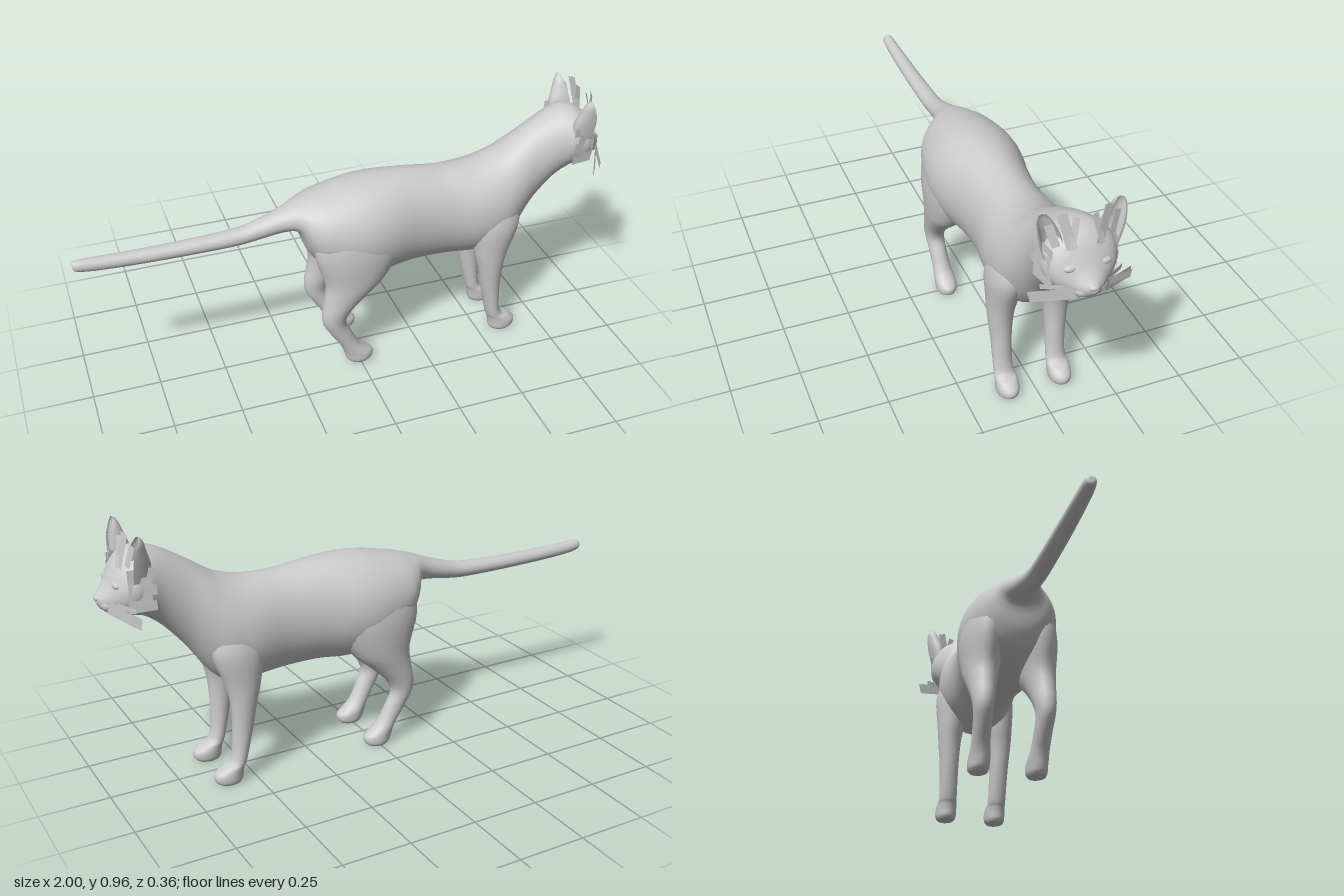
import * as THREE from 'three';

const grey = new THREE.MeshStandardMaterial({ color: 0xcccccc });
const thin = new THREE.MeshStandardMaterial({ color: 0xcccccc, side: THREE.DoubleSide });

// Smooth interpolation between rows of section numbers
function smoothRows(rows, steps) {
  const out = [];
  for (let i = 0; i < rows.length - 1; i++) {
    const [a, b, c, d] = [rows[Math.max(i - 1, 0)], rows[i], rows[i + 1], rows[Math.min(i + 2, rows.length - 1)]];
    for (let s = 0; s < steps; s++) {
      const t = s / steps;
      out.push(b.map((p, k) => {
        const m0 = (c[k] - a[k]) / 2, m1 = (d[k] - p) / 2;
        return (2 * t ** 3 - 3 * t * t + 1) * p + (t ** 3 - 2 * t * t + t) * m0
          + (3 * t * t - 2 * t ** 3) * c[k] + (t ** 3 - t * t) * m1;
      }));
    }
  }
  out.push(rows[rows.length - 1]);
  return out;
}

// Closed skin over a row of rings; point(row, cos, sin) gives [x, y, z]
function loft(name, rows, sides, steps, point, material = grey) {
  const rings = smoothRows(rows, steps), pos = [], idx = [];
  for (const r of rings) {
    for (let j = 0; j < sides; j++) {
      const a = (j / sides) * Math.PI * 2;
      pos.push(...point(r, Math.cos(a), Math.sin(a)));
    }
  }
  const last = rings.length - 1;
  for (let i = 0; i < last; i++) {
    for (let j = 0; j < sides; j++) {
      const k = (j + 1) % sides, p = i * sides, q = p + sides;
      idx.push(p + j, q + j, p + k, p + k, q + j, q + k);
    }
  }
  // end caps have their own vertices, so the soles stay crisp
  for (const end of [0, last]) {
    const base = pos.length / 3, c = [0, 0, 0];
    for (let j = 0; j < sides; j++) {
      const v = pos.slice((end * sides + j) * 3, (end * sides + j) * 3 + 3);
      pos.push(...v);
      v.forEach((n, m) => { c[m] += n / sides; });
    }
    pos.push(...c);
    for (let j = 0; j < sides; j++) {
      const a = base + j, b = base + (j + 1) % sides;
      if (end) idx.push(a, base + sides, b);
      else idx.push(a, b, base + sides);
    }
  }
  const g = new THREE.BufferGeometry();
  g.setAttribute('position', new THREE.Float32BufferAttribute(pos, 3));
  g.setIndex(idx);
  g.computeVertexNormals();
  const mesh = new THREE.Mesh(g, material);
  mesh.name = name;
  return mesh;
}

// Flat strip from a to b, widened across the facing direction
function card(name, a, b, width, facing) {
  const A = new THREE.Vector3(...a), B = new THREE.Vector3(...b);
  const u = B.clone().sub(A).cross(new THREE.Vector3(...facing)).setLength(width / 2);
  const p = [A.clone().sub(u), A.clone().add(u), B.clone().add(u), B.clone().sub(u)];
  const g = new THREE.BufferGeometry().setFromPoints(p);
  g.setIndex([0, 1, 2, 0, 2, 3]);
  g.computeVertexNormals();
  const mesh = new THREE.Mesh(g, thin);
  mesh.name = name;
  return mesh;
}

function blob(name, [x, y, z], [rx, ry, rz]) {
  const mesh = new THREE.Mesh(new THREE.SphereGeometry(1, 20, 14), grey);
  mesh.name = name;
  mesh.position.set(x, y, z);
  mesh.scale.set(rx, ry, rz);
  return mesh;
}

export function createModel() {
  const cat = new THREE.Group();
  cat.name = 'cat';

  // Tail, trunk, neck and head: x, bottom, top, half width
  const trunk = [
    [-1, 0.58, 0.6, 0.008], [-0.985, 0.568, 0.61, 0.02], [-0.9, 0.558, 0.608, 0.025],
    [-0.7, 0.552, 0.605, 0.03], [-0.45, 0.552, 0.613, 0.034], [-0.35, 0.562, 0.633, 0.038],
    [-0.26, 0.576, 0.664, 0.05], [-0.205, 0.57, 0.685, 0.078], [-0.175, 0.49, 0.694, 0.115],
    [-0.12, 0.42, 0.709, 0.152], [0, 0.36, 0.733, 0.176], [0.1, 0.35, 0.741, 0.17],
    [0.22, 0.36, 0.737, 0.143], [0.35, 0.358, 0.723, 0.134], [0.48, 0.35, 0.726, 0.15],
    [0.57, 0.36, 0.752, 0.145], [0.63, 0.415, 0.787, 0.128], [0.7, 0.515, 0.833, 0.107],
    [0.78, 0.605, 0.877, 0.106], [0.84, 0.65, 0.893, 0.12], [0.885, 0.663, 0.88, 0.122],
    [0.915, 0.671, 0.853, 0.106], [0.935, 0.68, 0.82, 0.085], [0.955, 0.685, 0.783, 0.058],
    [0.975, 0.695, 0.757, 0.036], [0.988, 0.715, 0.745, 0.016],
  ];
  cat.add(loft('body', trunk, 36, 4, ([x, lo, hi, w], c, s) =>
    [x, (lo + hi) / 2 + s * (hi - lo) / 2, c * w]));

  // Legs: y, back x, front x, inner z, outer z
  const frontLeg = [
    [0, 0.555, 0.64, 0.066, 0.132], [0.012, 0.548, 0.652, 0.06, 0.138], [0.035, 0.545, 0.653, 0.058, 0.139],
    [0.058, 0.54, 0.628, 0.06, 0.137], [0.085, 0.53, 0.588, 0.064, 0.134], [0.2, 0.504, 0.578, 0.064, 0.138],
    [0.3, 0.485, 0.582, 0.058, 0.147], [0.38, 0.465, 0.6, 0.045, 0.152], [0.5, 0.45, 0.64, 0.03, 0.155],
    [0.62, 0.48, 0.62, 0.03, 0.115],
  ];
  const hindLeg = [
    [0, -0.04, 0.04, 0.074, 0.138], [0.012, -0.05, 0.052, 0.068, 0.144], [0.035, -0.058, 0.053, 0.066, 0.145],
    [0.058, -0.065, 0.026, 0.068, 0.144], [0.09, -0.08, -0.005, 0.074, 0.142], [0.15, -0.118, -0.035, 0.078, 0.144],
    [0.2, -0.143, -0.055, 0.078, 0.149], [0.25, -0.146, -0.035, 0.07, 0.155], [0.31, -0.136, 0.025, 0.058, 0.162],
    [0.38, -0.132, 0.1, 0.04, 0.171], [0.5, -0.165, 0.165, 0.02, 0.178], [0.6, -0.15, 0.15, 0.02, 0.16],
    [0.66, -0.09, 0.1, 0.03, 0.12],
  ];
  // Ears: y, rim x, depth, centre z, half width
  const ear = [
    [0.8, 0.895, 0.07, 0.088, 0.032], [0.86, 0.898, 0.068, 0.1, 0.034], [0.9, 0.893, 0.05, 0.11, 0.031],
    [0.935, 0.882, 0.027, 0.12, 0.023], [0.955, 0.876, 0.009, 0.125, 0.01],
  ];

  for (const side of [1, -1]) {
    const word = side > 0 ? 'left' : 'right';
    const legPoint = ([y, x0, x1, z0, z1], c, s) =>
      [(x0 + x1) / 2 + c * (x1 - x0) / 2, y, side * (z0 + z1) / 2 + s * (z1 - z0) / 2];
    cat.add(loft(word + 'FrontLeg', frontLeg, 24, 4, legPoint));
    cat.add(loft(word + 'HindLeg', hindLeg, 24, 4, legPoint));

    // crescent section leaves the ear hollow at the front
    cat.add(loft(word + 'Ear', ear, 24, 4, ([y, x, d, z, w], c, s) =>
      [x + d * (c > 0 ? -0.65 * c : c), y, side * z + s * w], thin));

    // Face
    cat.add(blob(word + 'Eye', [0.934, 0.785, side * 0.055], [0.013, 0.013, 0.023]));
    cat.add(blob(word + 'Muzzle', [0.95, 0.714, side * 0.024], [0.03, 0.024, 0.028]));

    // Fur and whisker strips
    const at = (x, y, z) => [x, y, side * z];
    const fur = new THREE.Group();
    fur.name = word + 'FurStrips';
    const front = [1, 0, 0.3 * side], flank = [0.2, 0, side];
    fur.add(
      card('browStrip', at(0.92, 0.84, 0.045), at(0.9, 0.96, 0.075), 0.032, front),
      card('browStrip', at(0.925, 0.84, 0.05), at(0.905, 0.942, 0.03), 0.022, front),
      card('earStrip', at(0.905, 0.85, 0.09), at(0.89, 0.925, 0.112), 0.026, front),
      card('whisker', at(0.965, 0.712, 0.05), at(0.895, 0.68, 0.168), 0.042, front),
      card('whisker', at(0.96, 0.722, 0.055), at(0.925, 0.7, 0.155), 0.03, front),
      card('whisker', at(0.95, 0.724, 0.06), at(0.9, 0.715, 0.135), 0.018, front),
    );
    for (let i = 0; i < 5; i++) {
      const y = 0.715 + i * 0.028, bulge = 0.012 * Math.sin((i + 0.5) / 5 * Math.PI);
      fur.add(card('cheekStrip', at(0.912, y, 0.1 + bulge), at(0.825 + (i % 2) * 0.015, y + 0.006, 0.12 + bulge),
        0.034, flank));
    }
    cat.add(fur);
  }

  cat.add(blob('nose', [0.979, 0.735, 0], [0.017, 0.011, 0.019]));
  cat.add(blob('chin', [0.942, 0.692, 0], [0.024, 0.016, 0.026]));
  return cat;
}
